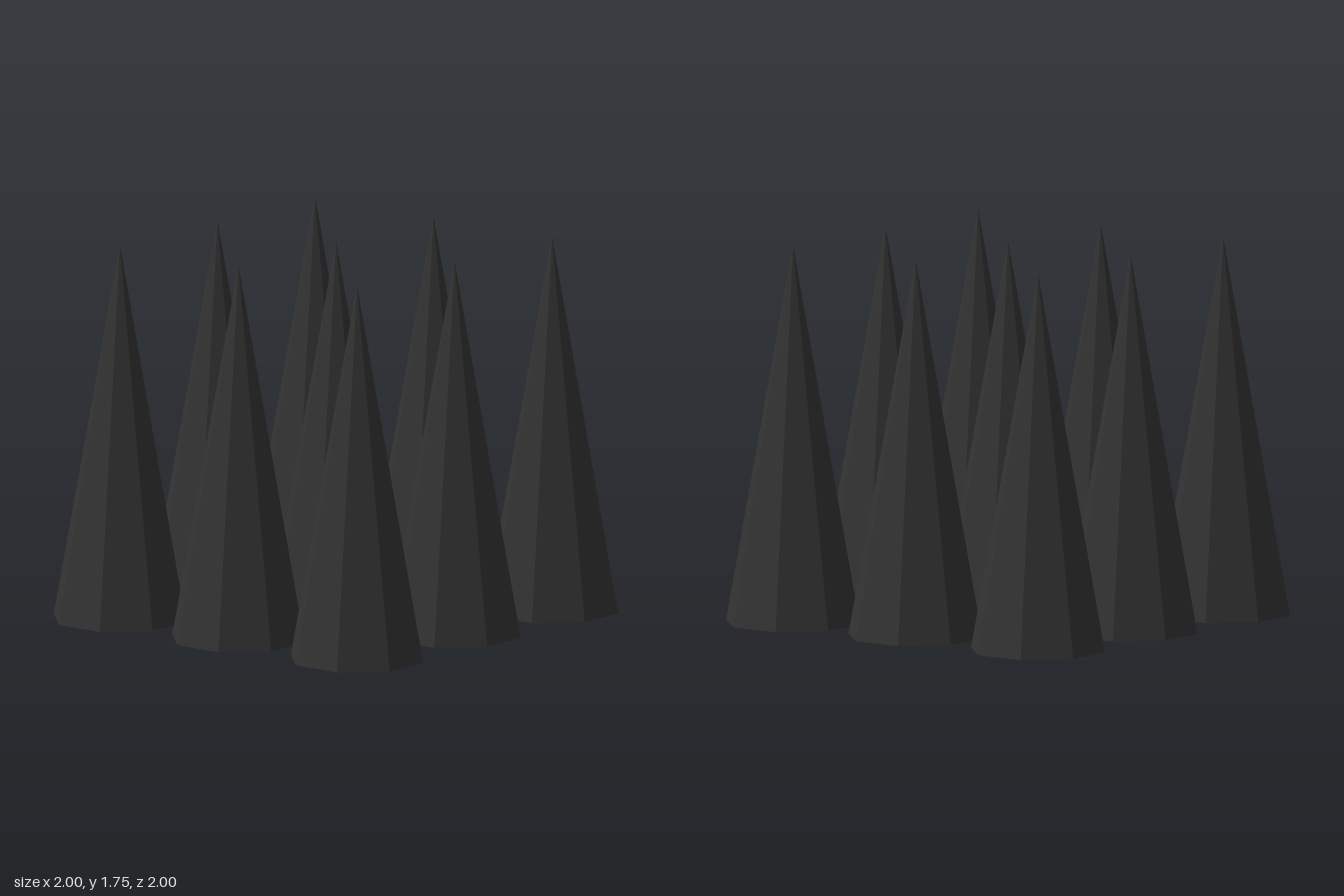
import * as THREE from 'three';

const SPACING = 0.706; // distance between spike centres
const APOTHEM = 0.294; // centre to flat side of the octagonal base
const HEIGHT = 1.755;
const SIDES = 8;

export function createModel() {
  const group = new THREE.Group();
  group.name = 'spikes';

  const material = new THREE.MeshStandardMaterial({ color: 0x333333, flatShading: true });

  // Eight-sided spike with a closed base, flat sides facing the axes
  const radius = APOTHEM / Math.cos(Math.PI / SIDES);
  const geometry = new THREE.ConeGeometry(radius, HEIGHT, SIDES);
  geometry.rotateY(Math.PI / SIDES);
  geometry.translate(0, HEIGHT / 2, 0);

  // Three by three grid of spikes
  const rows = ['back', 'middle', 'front'];
  const columns = ['Right', 'Centre', 'Left'];
  rows.forEach((row, r) => {
    columns.forEach((column, c) => {
      const spike = new THREE.Mesh(geometry, material);
      spike.name = `${row}${column}Spike`;
      spike.position.set((c - 1) * SPACING, 0, (r - 1) * SPACING);
      group.add(spike);
    });
  });

  return group;
}
